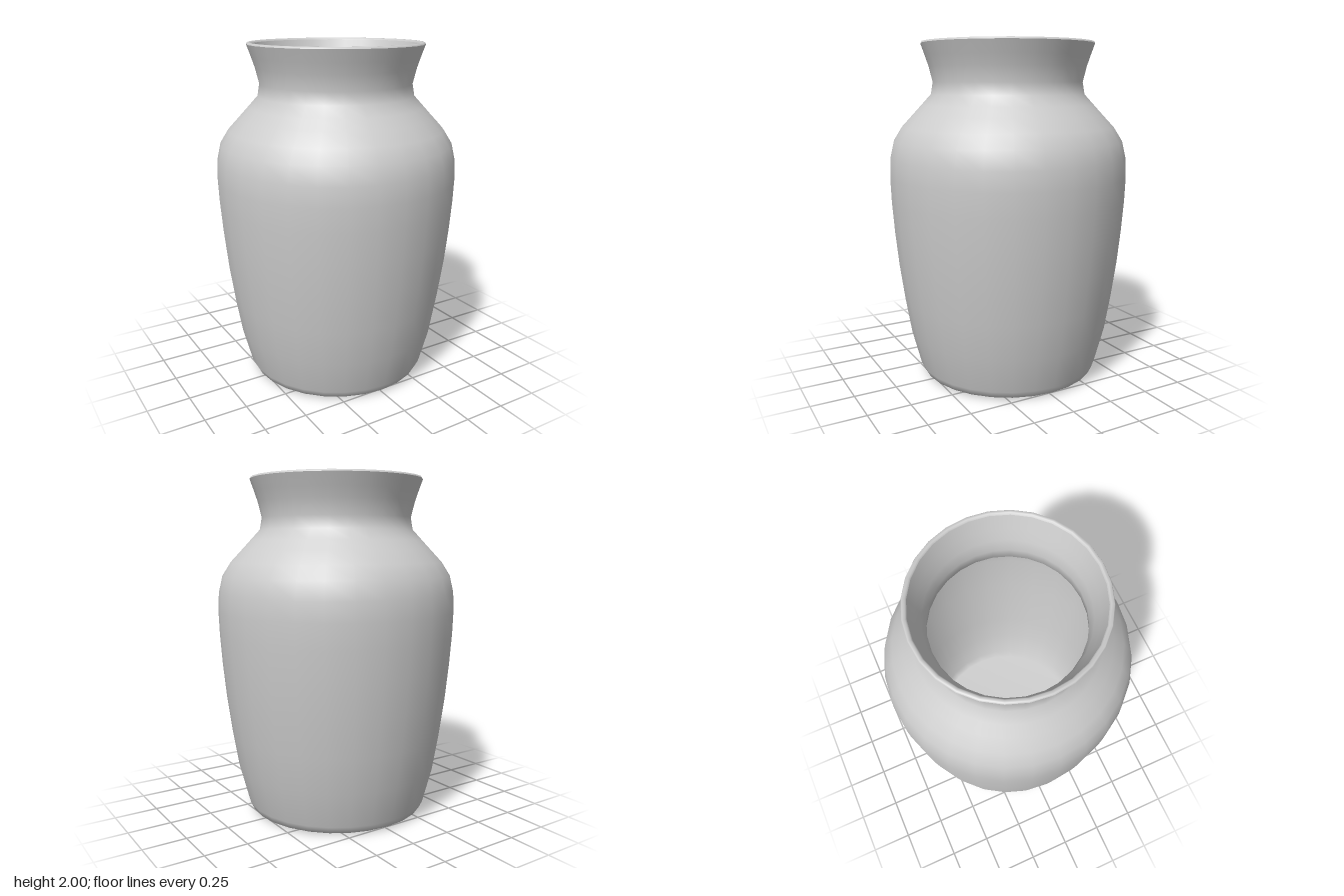
import * as THREE from 'three';

// Turns a closed [radius, height] profile about the y axis
function turned(name, profile, material) {
  const points = profile.map(([r, y]) => new THREE.Vector2(r, y));
  const mesh = new THREE.Mesh(new THREE.LatheGeometry(points, 28), material);
  mesh.name = name;
  return mesh;
}

export function createModel() {
  const group = new THREE.Group();
  group.name = 'vase';

  const clay = new THREE.MeshStandardMaterial({ color: 0xcccccc });
  clay.name = 'pale grey clay';

  // Outer wall: underside, rounded foot, tapered body, shoulder, neck, flared lip
  const outer = [
    [0, 0.015], [0.36, 0.015], [0.42, 0.003], [0.5, 0.005], [0.53, 0.02], [0.55, 0.06],
    [0.605, 0.27], [0.64, 0.48], [0.67, 0.7], [0.69, 0.9], [0.703, 1.08], [0.708, 1.22],
    [0.703, 1.33], [0.68, 1.43], [0.63, 1.51], [0.565, 1.58], [0.51, 1.64],
    [0.455, 1.7], [0.443, 1.77], [0.465, 1.86], [0.485, 1.92], [0.51, 1.99],
  ];

  // Rim
  const rim = [[0.51, 1.99], [0.505, 2], [0.49, 2], [0.483, 1.99]];

  // Inner wall down to the floor
  const inner = [
    [0.483, 1.99], [0.455, 1.91], [0.43, 1.84], [0.412, 1.77], [0.42, 1.69],
    [0.48, 1.62], [0.54, 1.56], [0.605, 1.49], [0.65, 1.41], [0.672, 1.32],
    [0.676, 1.2], [0.66, 0.9], [0.61, 0.48], [0.575, 0.27], [0.525, 0.08],
    [0.49, 0.05], [0, 0.045],
  ];

  group.add(
    turned('outerWall', outer, clay),
    turned('rim', rim, clay),
    turned('innerWall', inner, clay),
  );
  return group;
}
